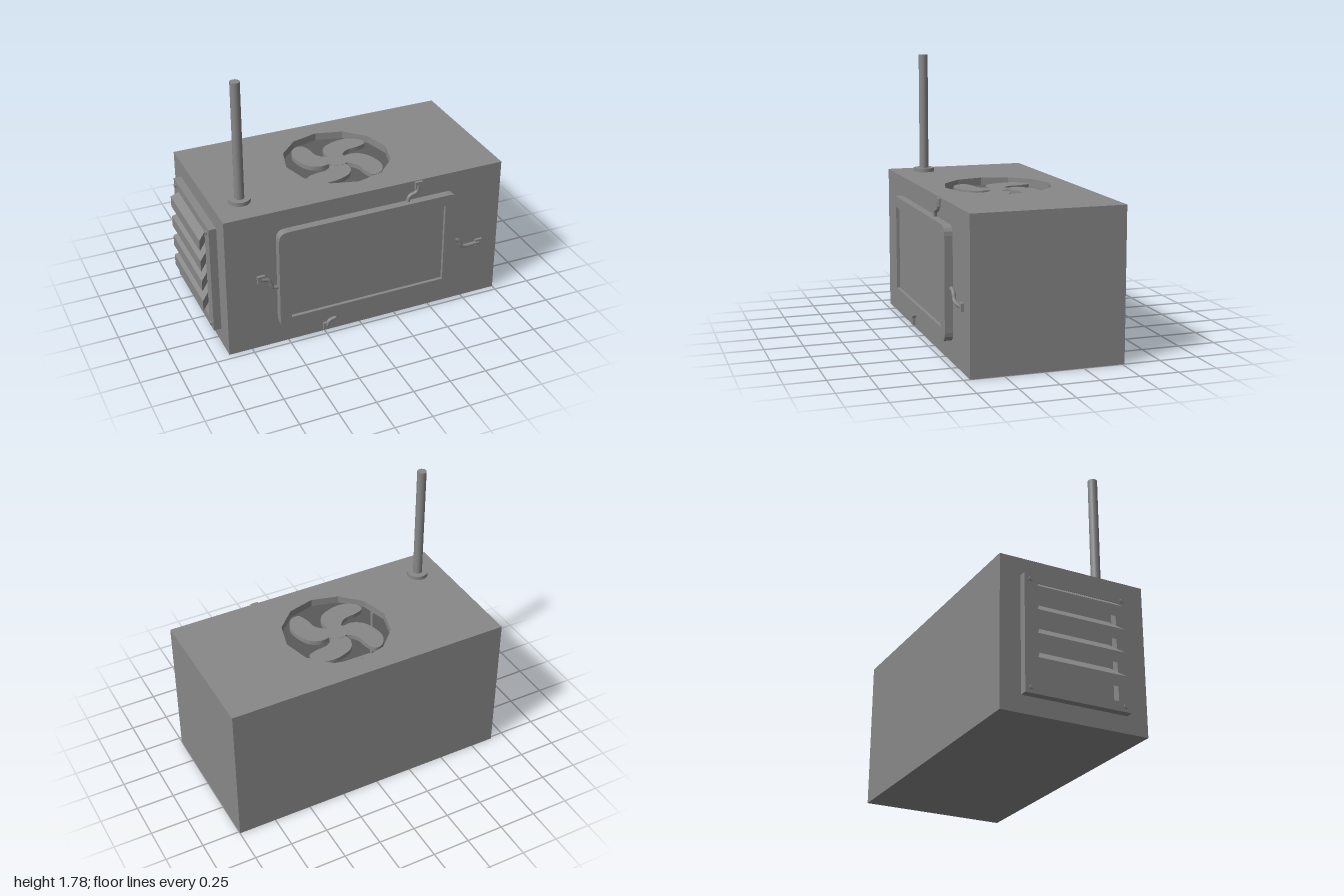
import * as THREE from 'three';

const grey = new THREE.MeshStandardMaterial({ color: 0x888888, side: THREE.DoubleSide });
grey.name = 'grey casing';

export function createModel() {
  const model = new THREE.Group();
  model.name = 'ventilatedCabinet';

  const add = (name, geometry, x = 0, y = 0, z = 0) => {
    const mesh = new THREE.Mesh(geometry, grey);
    mesh.name = name;
    mesh.position.set(x, y, z);
    model.add(mesh);
    return mesh;
  };
  // Box given by its lower and upper corners
  const box = (name, [x0, y0, z0], [x1, y1, z1]) =>
    add(name, new THREE.BoxGeometry(x1 - x0, y1 - y0, z1 - z0), (x0 + x1) / 2, (y0 + y1) / 2, (z0 + z1) / 2);
  const points = (list) => list.map(([x, y]) => new THREE.Vector2(x, y));
  const rect = (x0, y0, x1, y1) => points([[x0, y0], [x1, y0], [x1, y1], [x0, y1]]);
  const extrude = (shape, depth) =>
    new THREE.ExtrudeGeometry(shape, { depth, bevelEnabled: false, curveSegments: 4 });
  const withHole = (outline, hole) => {
    const shape = new THREE.Shape(outline);
    shape.holes.push(new THREE.Path(hole));
    return shape;
  };

  // Hollow casing
  const L = -0.905, R = 1, B = -0.515, F = 0.46, H = 0.975, lid = 0.05, t = 0.01;
  box('casingFloor', [L, 0, B], [R, t, F]);
  box('casingBack', [L, t, B], [R, H - lid, B + t]);
  box('casingRightWall', [L, t, B + t], [L + t, H - lid, F - t]);
  box('casingLeftWall', [R - t, t, B + t], [R, H - lid, F - t]);
  const opening = rect(-0.495, 0.21, 0.575, 0.772);
  add('casingFront', extrude(withHole(rect(L, t, R, H - lid), opening), t), 0, 0, F - t);

  // Lid with a twelve-sided fan opening
  const fanX = 0.05, fanZ = -0.03;
  const ring = Array.from({ length: 12 }, (_, i) => {
    const a = (i * Math.PI) / 6;
    return new THREE.Vector2(fanX + 0.353 * Math.cos(a), -fanZ + 0.353 * Math.sin(a));
  });
  const lidGeometry = extrude(withHole(rect(L, -F, R, -B), ring), lid);
  add('casingLid', lidGeometry.rotateX(-Math.PI / 2), 0, H - lid, 0);

  // Fan: four swept blades round a hub
  const blade = new THREE.Shape();
  blade.moveTo(0, 0);
  blade.lineTo(-0.06, -0.03);
  blade.splineThru(points([[-0.13, -0.04], [-0.2, 0], [-0.24, 0.09], [-0.245, 0.18], [-0.2, 0.255],
    [-0.14, 0.265], [-0.112, 0.2], [-0.1, 0.12], [-0.06, 0.07], [-0.03, 0.06]]));
  const bladeGeometry = extrude(blade, 0.03).rotateX(-Math.PI / 2);
  for (let i = 0; i < 4; i++) {
    add('fanBlade', bladeGeometry, fanX, H - 0.055, fanZ).rotation.y = (i * Math.PI) / 2;
  }
  add('fanHub', new THREE.CylinderGeometry(0.075, 0.075, 0.034, 20), fanX, H - 0.04, fanZ);

  // Screen with rounded surround
  const x0 = -0.572, x1 = 0.662, y0 = 0.132, y1 = 0.845, r = 0.06;
  const surround = new THREE.Shape();
  surround.moveTo(x0 + r, y0);
  surround.lineTo(x1 - r, y0);
  surround.quadraticCurveTo(x1, y0, x1, y0 + r);
  surround.lineTo(x1, y1 - r);
  surround.quadraticCurveTo(x1, y1, x1 - r, y1);
  surround.lineTo(x0 + r, y1);
  surround.quadraticCurveTo(x0, y1, x0, y1 - r);
  surround.lineTo(x0, y0 + r);
  surround.quadraticCurveTo(x0, y0, x0 + r, y0);
  surround.holes.push(new THREE.Path(opening));
  add('screenSurround', extrude(surround, 0.052), 0, 0, F);
  box('screen', [-0.495, 0.21, 0.482], [0.575, 0.772, 0.49]);

  // Cables from the surround to square clips
  const cables = [
    [[-0.565, 0.435], [-0.605, 0.445], [-0.63, 0.5], [-0.68, 0.518]],
    [[0.655, 0.468], [0.705, 0.455], [0.735, 0.405], [0.86, 0.4]],
    [[0.32, 0.84], [0.335, 0.88], [0.38, 0.9], [0.397, 0.945]],
    [[-0.16, 0.138], [-0.18, 0.09], [-0.22, 0.075], [-0.237, 0.04]],
  ];
  for (const path of cables) {
    const curve = new THREE.CatmullRomCurve3(path.map(([x, y]) => new THREE.Vector3(x, y, 0.471)));
    add('cable', new THREE.TubeGeometry(curve, 16, 0.013, 8));
    const [x, y] = path[3];
    box('cableClip', [x - 0.025, y - 0.025, F], [x + 0.025, y + 0.025, 0.478]);
  }

  // Antenna
  add('antennaBase', new THREE.CylinderGeometry(0.07, 0.07, 0.026, 24), -0.725, H + 0.013, 0.25);
  add('antennaRod', new THREE.CylinderGeometry(0.031, 0.031, 0.785, 16), -0.725, 1.392, 0.25);

  // Side vent frame; its shape is drawn in z and y, then turned to face -x
  const frame = withHole(rect(-0.38, 0.11, 0.32, 0.86), rect(-0.29, 0.17, 0.235, 0.805));
  add('ventFrame', extrude(frame, 0.05).rotateY(-Math.PI / 2), L, 0, 0);

  // Sloping slats that widen outwards
  for (let i = 0; i < 4; i++) {
    const slat = new THREE.BoxGeometry(0.09, 0.075, 1);
    const p = slat.attributes.position;
    for (let v = 0; v < p.count; v++) {
      const outer = p.getX(v) < 0;
      p.setY(v, p.getY(v) + (outer ? 0 : 0.075));
      const half = outer ? 0.293 : 0.235;
      p.setZ(v, Math.sign(p.getZ(v)) * half);
    }
    slat.computeVertexNormals();
    add('ventSlat', slat, -0.955, 0.727 - i * 0.15, -0.027);
  }

  // Corner bolts
  const bolt = new THREE.CylinderGeometry(0.014, 0.014, 0.012, 10).rotateZ(Math.PI / 2);
  for (const y of [0.145, 0.825]) {
    for (const z of [-0.34, 0.28]) add('ventBolt', bolt, -0.96, y, z);
  }
  return model;
}
